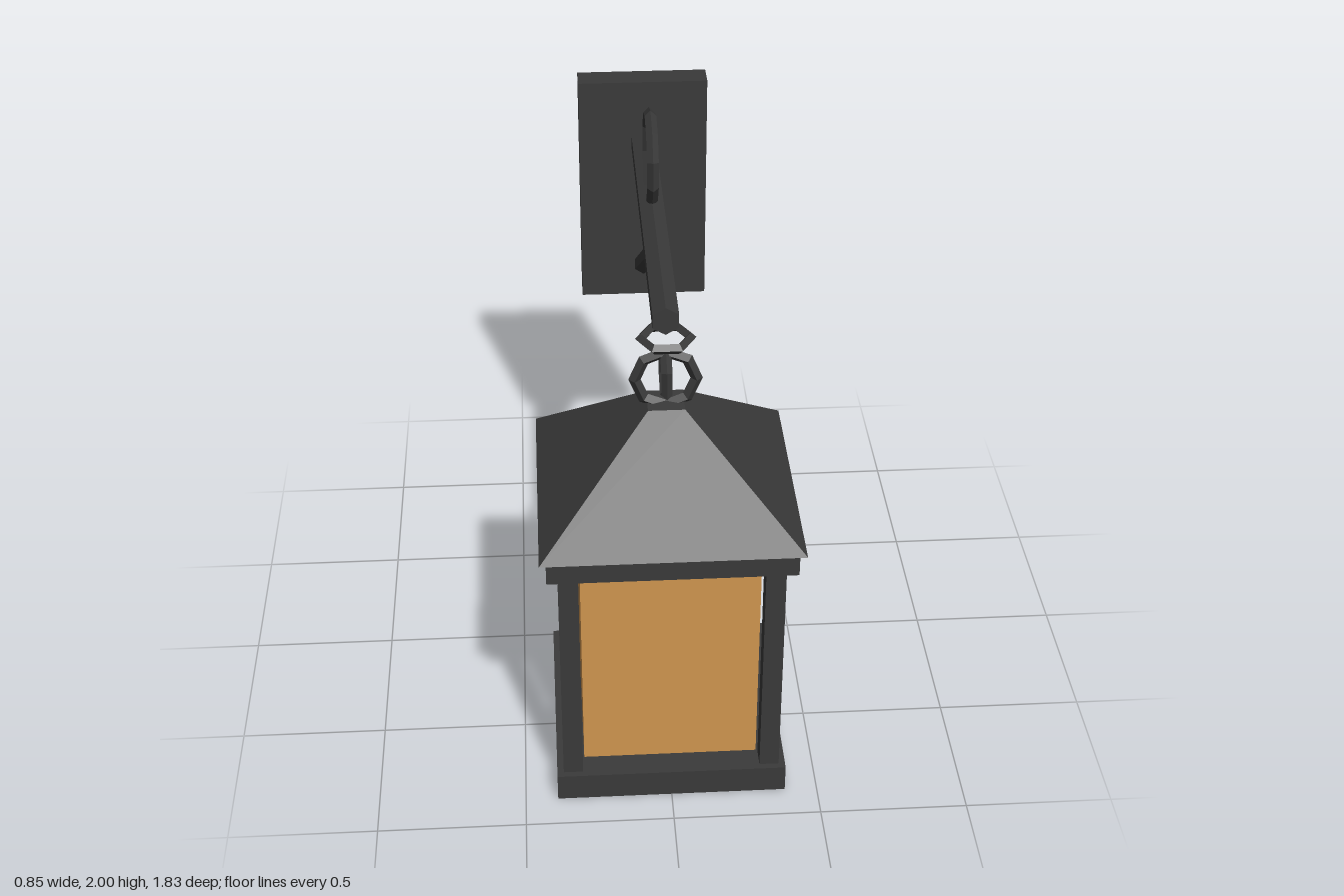
import * as THREE from 'three';

export function createModel() {
  const model = new THREE.Group();
  model.name = 'wallLantern';

  const iron = new THREE.MeshStandardMaterial({ color: 0x3a3a3a, flatShading: true });
  iron.name = 'dark iron';
  const glass = new THREE.MeshStandardMaterial({ color: 0xd0964f, flatShading: true });
  glass.name = 'amber glass';

  const add = (parent, name, geometry, material, x, y, z) => {
    const mesh = new THREE.Mesh(geometry, material);
    mesh.name = name;
    mesh.position.set(x, y, z);
    parent.add(mesh);
    return mesh;
  };

  // Box given by its bottom and top heights
  const slab = (parent, name, width, depth, y0, y1, material = iron, x = 0, z = 0) =>
    add(parent, name, new THREE.BoxGeometry(width, y1 - y0, depth), material, x, (y0 + y1) / 2, z);

  // Low-poly ring with a diamond section, facing +z with corners on the x axis
  const ring = (radius, tube, sides) => new THREE.TorusGeometry(radius, tube, 4, sides);

  // Six-sided rod between two points in the x = 0 plane
  const rod = (name, radius, y0, z0, y1, z1) => {
    const dy = y1 - y0, dz = z1 - z0;
    const geometry = new THREE.CylinderGeometry(radius, radius, Math.hypot(dy, dz), 6);
    geometry.rotateX(Math.atan2(dz, dy));
    add(model, name, geometry, iron, 0, (y0 + y1) / 2, (z0 + z1) / 2);
  };

  // Wall bracket
  slab(model, 'wallPlate', 0.47, 0.1, 1.01, 1.89, iron, 0, -0.863);
  rod('arm', 0.049, 1.655, -0.83, 1.655, 0.492);
  rod('brace', 0.037, 1.122, -0.84, 1.635, -0.012);
  const scroll = ring(0.153, 0.02, 10).rotateZ(Math.PI / 2).rotateY(Math.PI / 2);
  add(model, 'scrollRing', scroll, iron, 0, 1.827, -0.331);

  // Lantern, hung from the end of the arm
  const lantern = new THREE.Group();
  lantern.name = 'lantern';
  lantern.position.z = 0.492;
  model.add(lantern);

  // Chain links and top loop
  add(lantern, 'upperLink', ring(0.08, 0.018, 6).rotateX(Math.PI / 2), iron, 0, 1.595, 0);
  add(lantern, 'lowerLink', ring(0.08, 0.018, 6).rotateZ(Math.PI / 2).rotateY(Math.PI / 2),
    iron, 0, 1.463, 0);
  add(lantern, 'topLoop', ring(0.1, 0.02, 8), iron, 0, 1.443, 0);

  // Pyramid roof with a small flat top
  const roof = new THREE.CylinderGeometry(0.06 * Math.SQRT2, 0.425 * Math.SQRT2, 0.335, 4);
  roof.rotateY(Math.PI / 4);
  add(lantern, 'roof', roof, iron, 0, 1.1925, 0);

  // Body
  slab(lantern, 'roofRim', 0.807, 0.807, 0.94, 1.03);
  slab(lantern, 'glassBody', 0.592, 0.592, 0.09, 0.95, glass);
  slab(lantern, 'base', 0.78, 0.78, 0, 0.1);
  for (const sx of [-1, 1]) {
    for (const sz of [-1, 1]) {
      slab(lantern, 'cornerPost', 0.066, 0.066, 0.09, 0.95, iron, sx * 0.335, sz * 0.335);
    }
  }

  return model;
}
